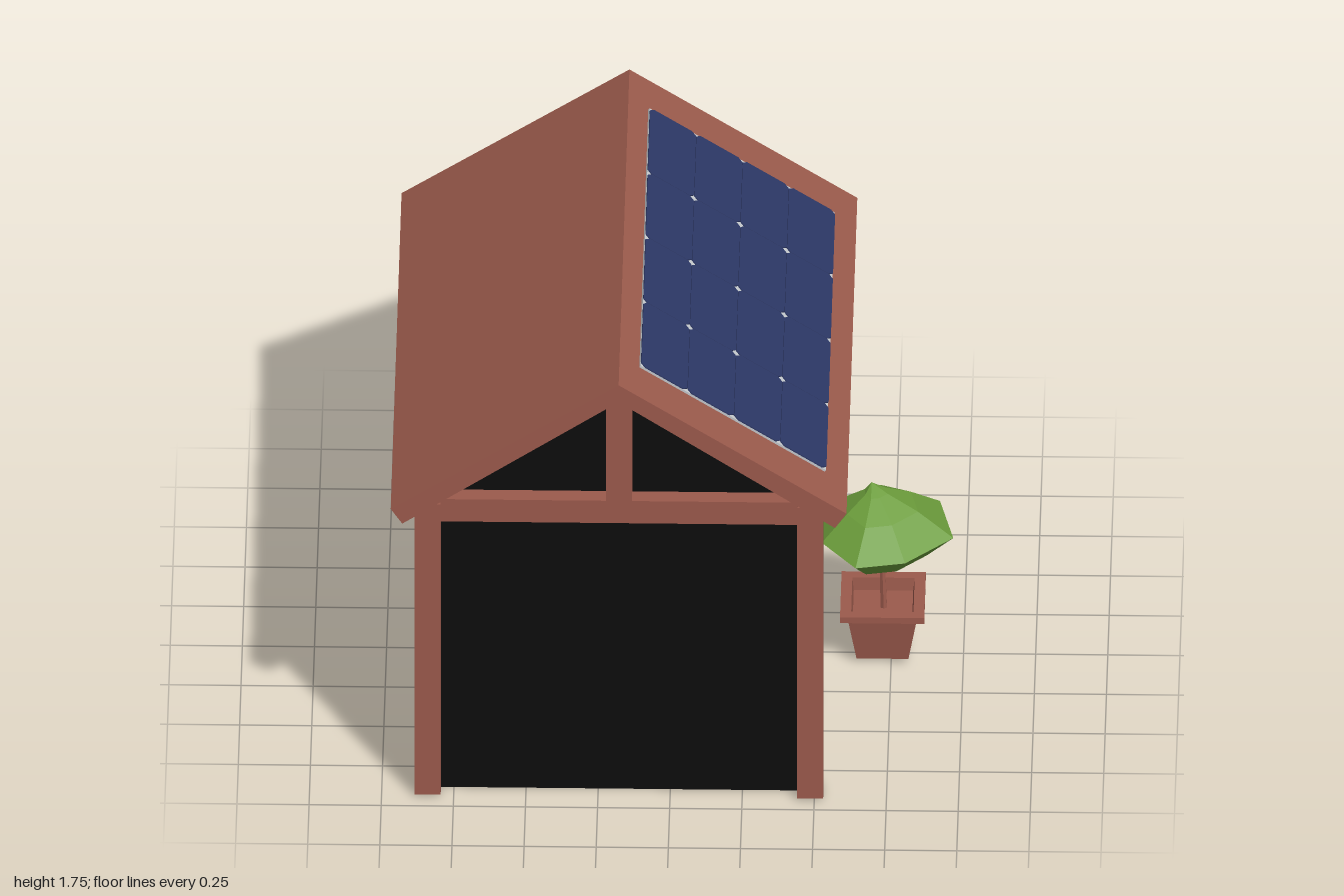
import * as THREE from 'three';

const mat = (name, color) => {
  const m = new THREE.MeshStandardMaterial({ color });
  m.name = name;
  return m;
};

export function createModel() {
  const brick = mat('red brown timber', 0x9b5a4c);
  const black = mat('black wall', 0x0c0c0c);
  const glass = mat('pale teal glass', 0x98d3cd);
  const navy = mat('navy solar cell', 0x2c3765);
  const silver = mat('light panel backing', 0xc4c8cc);
  const leaf = mat('leaf green', 0x6b9c3b);

  const model = new THREE.Group();
  model.name = 'house';

  const add = (parent, name, geo, material, x = 0, y = 0, z = 0) => {
    const m = new THREE.Mesh(geo, material);
    m.name = name;
    m.position.set(x, y, z);
    parent.add(m);
    return m;
  };
  // Box given by its minimum and maximum corners
  const box = (parent, name, material, [x0, y0, z0], [x1, y1, z1]) =>
    add(parent, name, new THREE.BoxGeometry(x1 - x0, y1 - y0, z1 - z0), material,
      (x0 + x1) / 2, (y0 + y1) / 2, (z0 + z1) / 2);
  const shape = (pts) => new THREE.Shape(pts.map(([x, y]) => new THREE.Vector2(x, y)));
  const prism = (pts, depth) =>
    new THREE.ExtrudeGeometry(shape(pts), { depth, bevelEnabled: false });
  const flat = (geo) => {
    const g = geo.index ? geo.toNonIndexed() : geo;
    g.computeVertexNormals();
    return g;
  };

  // House body, centred on its own ridge line
  const house = new THREE.Group();
  house.name = 'building';
  house.position.x = -0.177;
  model.add(house);

  const W = 0.648, D = 0.878;      // wall half sizes
  const PX = 0.708, PZ = 0.94, T = 0.09; // timber frame half sizes and thickness
  add(house, 'walls', prism([[-W, 0], [W, 0], [W, 1.25], [0, 1.69], [-W, 1.25]], 2 * D), black, 0, 0, -D);

  // Roof: one folded slab
  add(house, 'roof', prism([[0, 1.75], [-0.79, 1.228], [-0.75, 1.168], [0, 1.68], [0.75, 1.168], [0.79, 1.228]], 2),
    brick, 0, 0, -1);

  // Timber frame: corner posts, beams and king posts
  for (const s of [-1, 1]) {
    const zs = s > 0 ? [PZ - T, PZ] : [-PZ, -PZ + T];
    const xs = s > 0 ? [PX - T, PX] : [-PX, -PX + T];
    for (const x of [-PX, PX - T])
      box(house, 'cornerPost', brick, [x, 0.008, zs[0]], [x + T, 1.21, zs[1]]);
    box(house, 'gableBeam', brick, [-PX + T, 1.14, zs[0]], [PX - T, 1.232, zs[1]]);
    box(house, 'kingPost', brick, [-T / 2, 1.232, zs[0]], [T / 2, 1.69, zs[1]]);
    box(house, 'eaveBeam', brick, [xs[0], 1.14, -PZ + T], [xs[1], 1.22, PZ - T]);
  }

  // Windows, built facing +z and turned to a side wall
  const addWindow = (side, y, z) => {
    const g = new THREE.Group();
    g.name = 'window';
    const w = 0.163, h = 0.163, b = 0.02;
    const frame = shape([[-w, -h], [w, -h], [w, h], [-w, h]]);
    frame.holes.push(shape([[-w + b, -h + b], [-w + b, h - b], [w - b, h - b], [w - b, -h + b]]));
    add(g, 'windowFrame', new THREE.ExtrudeGeometry(frame, { depth: 0.03, bevelEnabled: false }), brick);
    box(g, 'windowPane', glass, [-w + b, -h + b, 0], [w - b, h - b, 0.008]);
    box(g, 'windowBar', brick, [-0.006, -h + b, 0.008], [0.006, h - b, 0.022]);
    box(g, 'windowBar', brick, [-w + b, -0.006, 0.008], [w - b, 0.006, 0.021]);
    g.position.set(side * W, y, z);
    g.rotation.y = side * Math.PI / 2;
    house.add(g);
  };
  for (const side of [-1, 1])
    for (const z of [-0.355, 0.358])
      for (const y of [0.408, 0.925])
        if (side < 0 || z < 0 || y > 0.5) addWindow(side, y, z);

  // Door: raised surround with a slightly recessed leaf
  const [dz0, dz1, dh, db] = [0.23, 0.467, 0.464, 0.016];
  box(house, 'doorLeaf', brick, [W - 0.01, db, dz0 + db], [W + 0.014, dh - db, dz1 - db]);
  for (const z of [dz0, dz1 - db])
    box(house, 'doorSurround', brick, [W - 0.01, 0.004, z], [W + 0.022, dh, z + db]);
  for (const y of [0.004, dh - db])
    box(house, 'doorSurround', brick, [W - 0.01, y, dz0 + db], [W + 0.022, y + db, dz1 - db]);

  // Solar panel: light backing with chamfered cells, local x runs down the slope
  const solar = new THREE.Group();
  solar.name = 'solarPanel';
  solar.position.y = 1.75;
  solar.rotation.z = -Math.atan2(0.522, 0.79);
  house.add(solar);
  const [s0, s1, p] = [0.082, 0.852, 0.815];
  box(solar, 'panelBacking', silver, [s0, 0, -p], [s1, 0.008, p]);
  const cw = (s1 - s0) / 4, cl = p / 2, c = 0.017;
  const a = cw / 2 - 0.0008, b = cl / 2 - 0.0008;
  const cell = prism([[-a + c, -b], [a - c, -b], [a, -b + c], [a, b - c],
    [a - c, b], [-a + c, b], [-a, b - c], [-a, -b + c]], 0.004);
  cell.rotateX(-Math.PI / 2);
  for (let i = 0; i < 4; i++)
    for (let j = 0; j < 4; j++)
      add(solar, 'solarCell', cell, navy, s0 + cw * (i + 0.5), 0.008, -p + cl * (j + 0.5));

  // Potted tree
  const tree = new THREE.Group();
  tree.name = 'pottedTree';
  tree.position.set(0.72, 0, -0.024);
  model.add(tree);

  // Square pot with overhanging rim and sunken soil
  const pot = [[0, 0.018], [0.09, 0.018], [0.12, 0.2], [0.146, 0.2], [0.146, 0.224],
    [0.108, 0.224], [0.103, 0.175], [0, 0.175]];
  const potGeo = new THREE.LatheGeometry(pot.map(([r, y]) => new THREE.Vector2(r * Math.SQRT2, y)), 4);
  add(tree, 'pot', flat(potGeo.rotateY(Math.PI / 4)), brick);

  const trunk = add(tree, 'trunk', flat(new THREE.CylinderGeometry(0.009, 0.013, 0.29, 6)), brick, -0.001, 0.31, 0);
  trunk.rotation.z = 0.03;

  // Faceted crown: irregular outline [x, z, height offset] scaled into rings
  const outline = [[0.245, 0.059, 0], [0.08, 0.2, -0.015], [-0.09, 0.265, 0.005], [-0.21, 0.12, 0.015],
    [-0.22, -0.1, 0.01], [0, -0.252, 0], [0.195, -0.16, 0.01]];
  const rings = [[0, 0.405, 0, 0], [0.62, 0.412, 0, 0], [1, 0.5, 0, 0], [0.54, 0.59, -0.01, 0],
    [0.17, 0.642, -0.025, -0.01], [0, 0.67, -0.04, -0.03]];
  const n = outline.length;
  const pos = [], idx = [];
  rings.forEach(([k, y, ox, oz]) => outline.forEach(([x, z, dy]) =>
    pos.push(x * k + ox, y + dy * k, z * k + oz)));
  for (let r = 0; r < rings.length - 1; r++)
    for (let i = 0; i < n; i++) {
      const q = r * n + i, w = r * n + (i + 1) % n;
      if (rings[r][0] > 0) idx.push(q, q + n, w);
      if (rings[r + 1][0] > 0 || rings[r][0] === 0) idx.push(w, q + n, w + n);
    }
  const crown = new THREE.BufferGeometry();
  crown.setAttribute('position', new THREE.Float32BufferAttribute(pos, 3));
  crown.setIndex(idx);
  add(tree, 'crown', flat(crown), leaf);

  return model;
}
